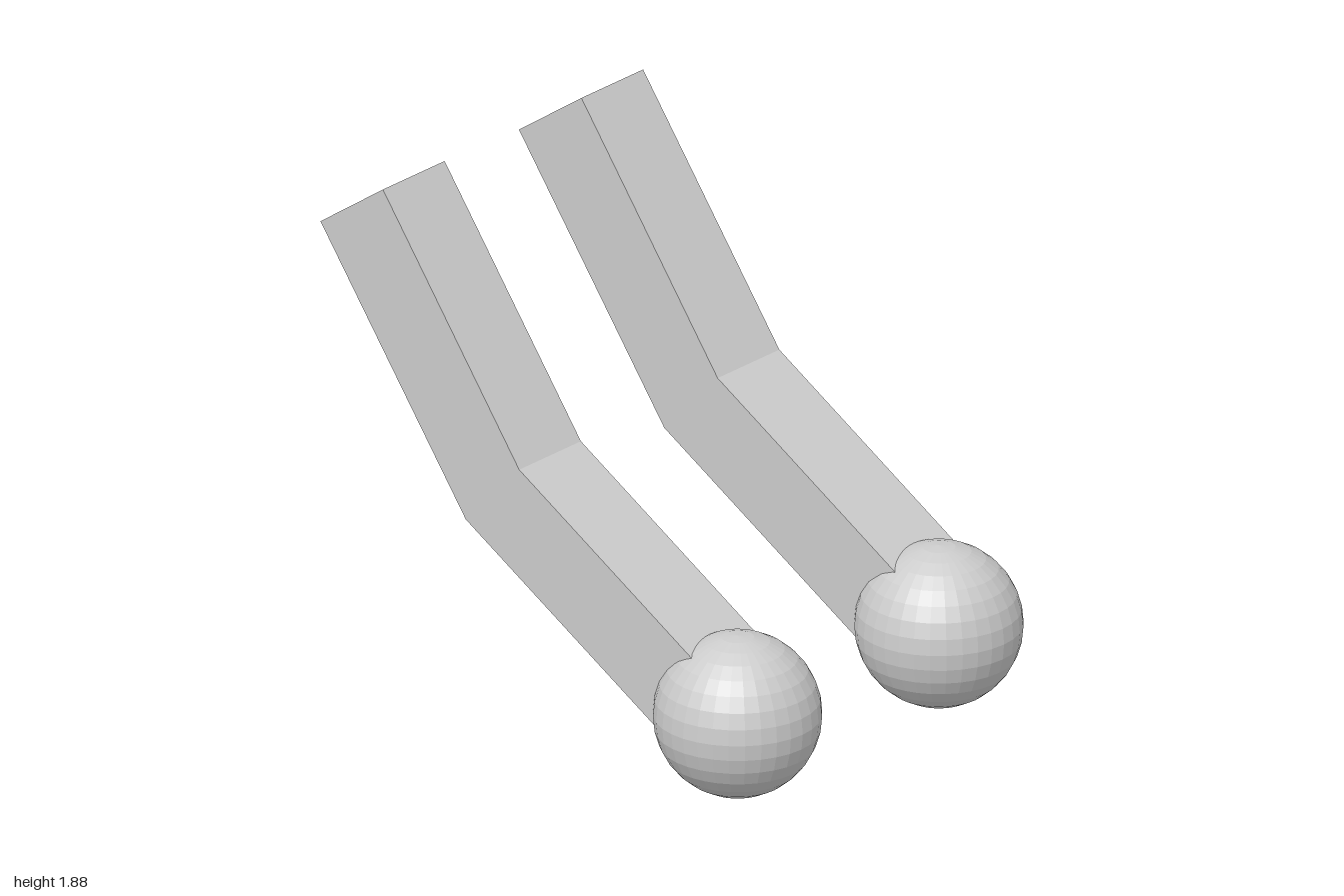
import * as THREE from 'three';

export function createModel() {
  const model = new THREE.Group();
  const material = new THREE.MeshStandardMaterial({ color: 0xcccccc, flatShading: true });

  // Bent bar outline, its lower end buried in the ball
  const outline = new THREE.Shape([
    [-1, 1.69], [-0.36, 0.77], [0.615, 0.146], [0.794, 0.426], [-0.125, 1.015], [-0.725, 1.88],
  ].map(([x, y]) => new THREE.Vector2(x, y)));
  const width = 0.325;
  const barGeometry = new THREE.ExtrudeGeometry(outline, { depth: width, bevelEnabled: false });
  barGeometry.translate(0, 0, -width / 2);

  // Faceted ball
  const ballGeometry = new THREE.SphereGeometry(0.287, 32, 16);

  // One bent bar with a ball at its foot
  function addArm(name, barZ, ballY, ballZ) {
    const arm = new THREE.Group();
    arm.name = name;
    const bar = new THREE.Mesh(barGeometry, material);
    bar.name = 'bentBar';
    bar.position.z = barZ;
    const ball = new THREE.Mesh(ballGeometry, material);
    ball.name = 'ball';
    ball.position.set(0.711, ballY, ballZ);
    arm.add(bar, ball);
    model.add(arm);
  }

  addArm('frontArm', 0.518, 0.298, 0.53);
  addArm('backArm', -0.527, 0.288, -0.53);
  return model;
}
